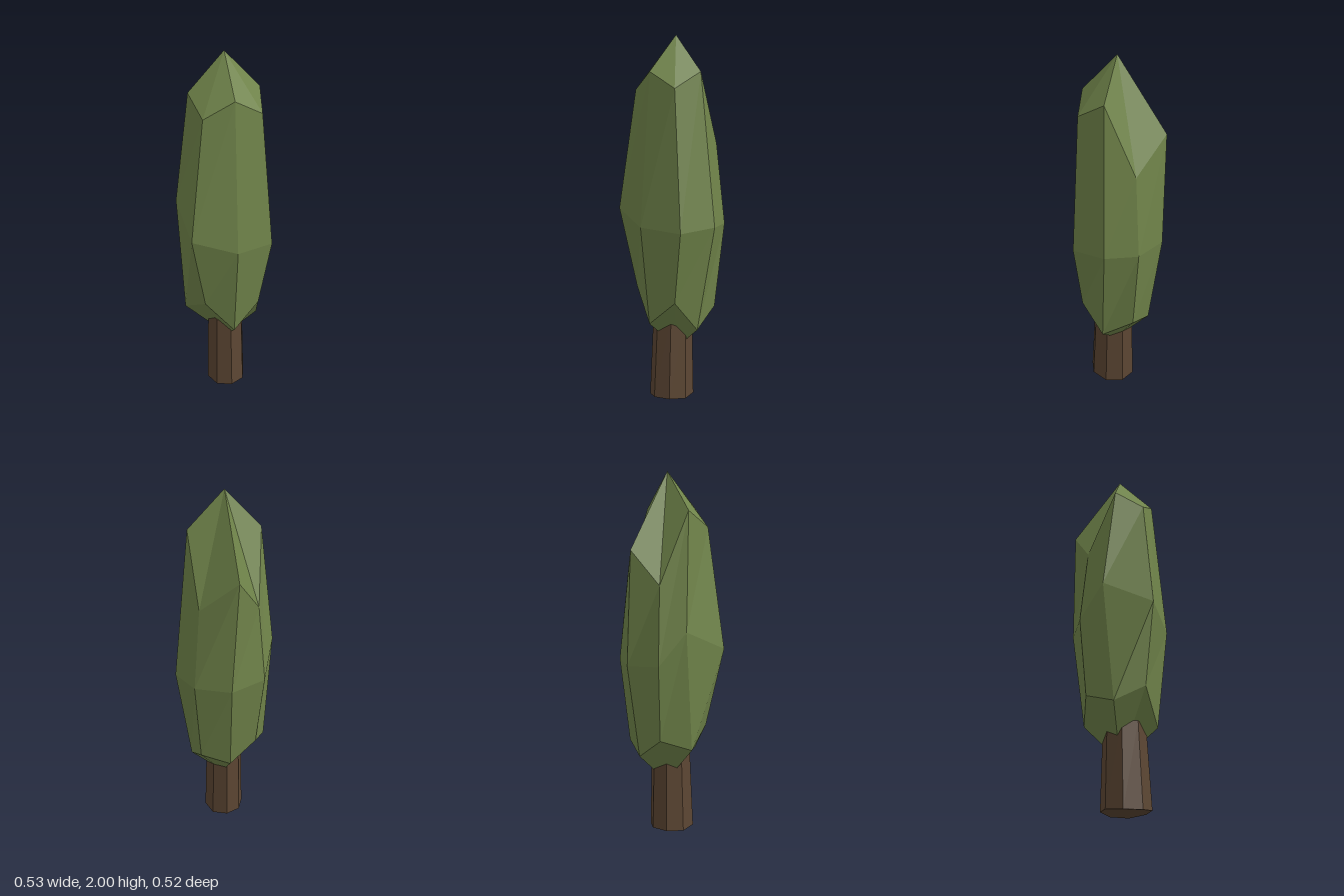
import * as THREE from 'three';

// Flat-shaded surface from quads given as corner lists (anticlockwise from outside)
function quadMesh(name, quads, color) {
  const pos = [];
  for (const [a, b, c, d] of quads) pos.push(...a, ...b, ...c, ...a, ...c, ...d);
  const geo = new THREE.BufferGeometry();
  geo.setAttribute('position', new THREE.Float32BufferAttribute(pos, 3));
  geo.computeVertexNormals();
  const mesh = new THREE.Mesh(geo, new THREE.MeshStandardMaterial({ color, flatShading: true }));
  mesh.name = name;
  return mesh;
}

// Eight-sided walls between two rings
const walls = (lower, upper) => lower.map((p, i) => {
  const j = (i + 1) % lower.length;
  return [p, lower[j], upper[j], upper[i]];
});

export function createModel() {
  const group = new THREE.Group();
  group.name = 'tree';

  // Crown: rings run front, front-left, left, back-left, back, back-right, right, front-right
  const top = [-0.01, 2, 0];
  const bottom = [0, 0.27, 0];
  const upper = [
    [-0.01, 1.8, 0.19], [0.145, 1.71, 0.155], [0.18, 1.8, 0], [0.145, 1.42, -0.158],
    [-0.045, 1.6, -0.257], [-0.165, 1.42, -0.158], [-0.2, 1.8, 0], [-0.165, 1.71, 0.155],
  ];
  const middle = [
    [-0.01, 0.98, 0.26], [0.21, 0.96, 0.175], [0.264, 0.98, -0.025], [0.18, 0.98, -0.19],
    [-0.01, 0.98, -0.262], [-0.2, 1, -0.19], [-0.265, 1.18, -0.057], [-0.248, 1.06, 0.21],
  ];
  const lower = [
    [-0.01, 0.44, 0.2], [0.145, 0.575, 0.155], [0.18, 0.41, 0.02], [0.145, 0.51, -0.15],
    [-0.015, 0.46, -0.19], [-0.165, 0.58, -0.155], [-0.243, 0.52, 0], [-0.165, 0.62, 0.155],
  ];
  const crown = [...walls(lower, middle), ...walls(middle, upper)];
  for (let i = 0; i < 8; i += 2) {
    const k = (i + 2) % 8;
    crown.push([top, upper[i], upper[i + 1], upper[k]]);
    crown.push([bottom, lower[k], lower[i + 1], lower[i]]);
  }
  group.add(quadMesh('crown', crown, 0x70844a));

  // Trunk: slightly tapered and uneven, reaching up inside the crown
  const ring = (cx, cz, rx, rz, y, wobble) => Array.from({ length: 8 }, (_, i) => {
    const a = (i * Math.PI) / 4;
    return [cx + rx * Math.sin(a), y + wobble * (1 + Math.sin(a * 2 + 1)), cz + rz * Math.cos(a)];
  });
  const base = ring(-0.012, 0.032, 0.113, 0.132, 0, 0.007);
  const head = ring(-0.012, 0.024, 0.102, 0.114, 0.46, 0);
  const trunk = walls(base, head);
  for (let i = 1; i < 7; i += 2) {
    trunk.push([base[0], base[(i + 2) % 8], base[i + 1], base[i]]);
    trunk.push([head[0], head[i], head[i + 1], head[(i + 2) % 8]]);
  }
  group.add(quadMesh('trunk', trunk, 0x5c4633));
  return group;
}
